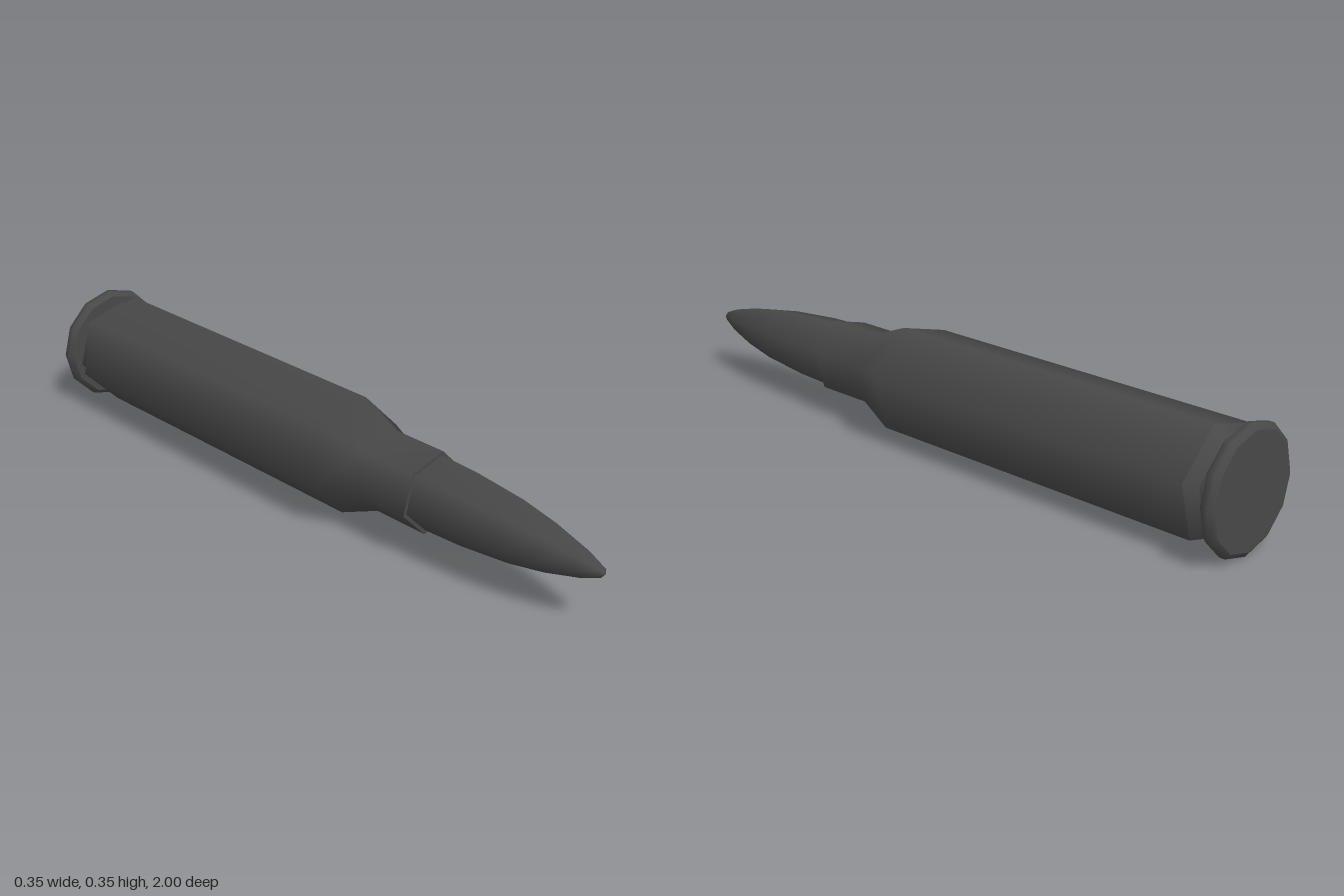
import * as THREE from 'three';

const AXIS_Y = 0.173;
const HEX_TURN = Math.PI / 4; // puts the hexagon corners at 15° + 60° steps
const material = new THREE.MeshStandardMaterial({ color: 0x484848 });

// Turned part along z; profile is [radius, z] from back to front
function turned(name, profile, sides = 6, start = HEX_TURN) {
  const points = profile.map(([r, z]) => new THREE.Vector2(r, z));
  const geometry = new THREE.LatheGeometry(points, sides, start);
  geometry.rotateX(Math.PI / 2);
  const mesh = new THREE.Mesh(geometry, material);
  mesh.name = name;
  mesh.position.y = AXIS_Y;
  return mesh;
}

export function createModel() {
  const group = new THREE.Group();
  group.name = 'cartridge';
  group.add(
    // Twelve-sided rim with bevelled edges
    turned('rimBackFace', [[0, -1], [0.158, -1]], 12, 0),
    turned('rimEdge', [[0.158, -1], [0.173, -0.99], [0.173, -0.973], [0.16, -0.961]], 12, 0),
    turned('rimFrontFace', [[0.16, -0.961], [0.12, -0.961]], 12, 0),
    // Groove, hexagonal case, shoulder and neck
    turned('extractorGroove', [[0.138, -0.965], [0.138, -0.937]]),
    turned('caseBevel', [[0.138, -0.937], [0.166, -0.908]]),
    turned('caseBody', [[0.166, -0.908], [0.166, 0.14], [0.115, 0.265], [0.115, 0.44]]),
    turned('neckLip', [[0.115, 0.44], [0.1, 0.44]]),
    // Tapering tip
    turned('projectile', [
      [0.104, 0.4], [0.104, 0.44], [0.1, 0.56], [0.085, 0.72],
      [0.065, 0.83], [0.038, 0.93], [0.014, 0.99], [0, 1],
    ]),
  );
  return group;
}
